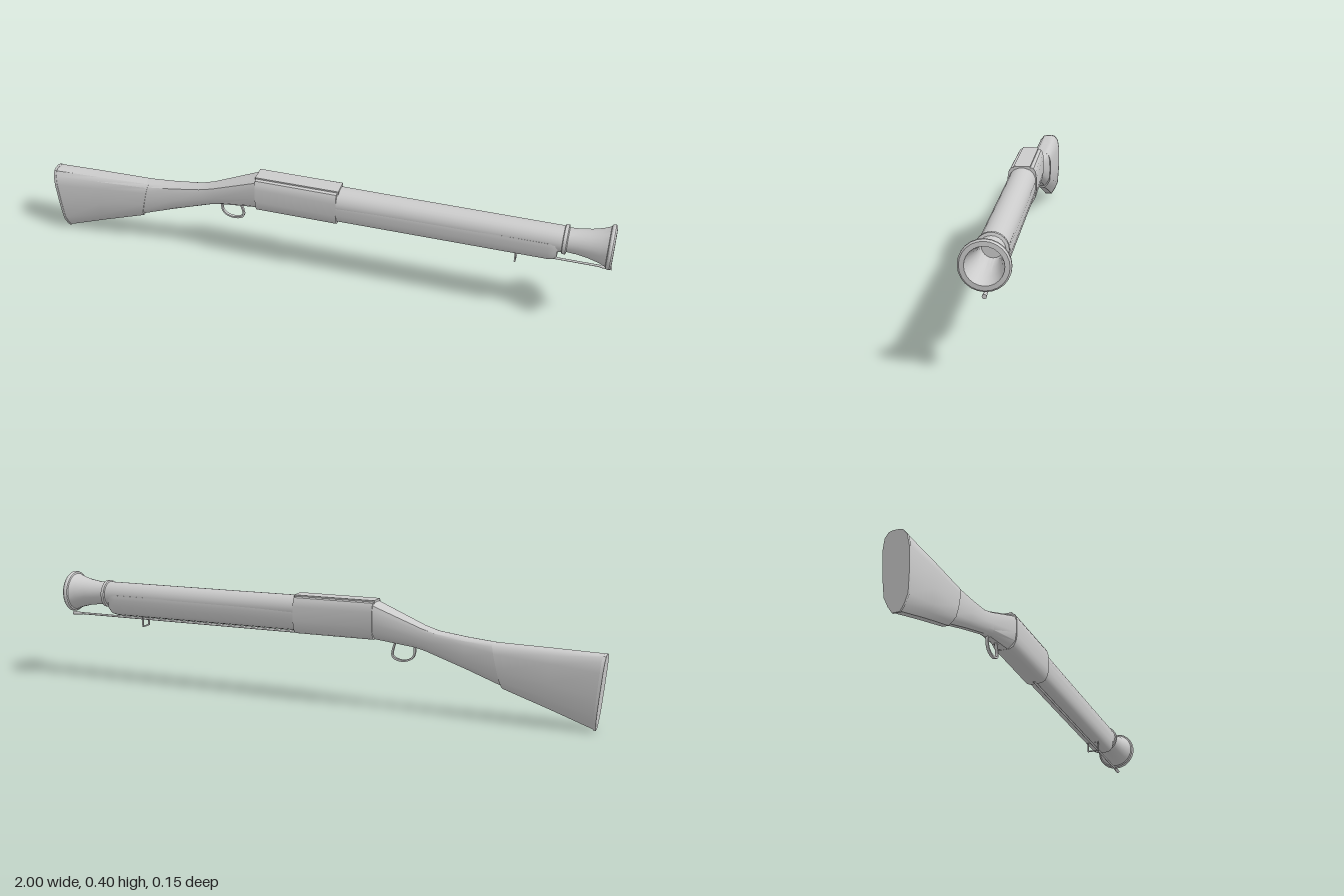
import * as THREE from 'three';
import { toCreasedNormals } from 'three/addons/utils/BufferGeometryUtils.js';

const material = new THREE.MeshStandardMaterial({ color: 0xcccccc, side: THREE.DoubleSide });
const AXIS_Y = 0.325; // height of the bore

// Half cross-sections as [share of half width, share of height], bottom to top
const STOCK = [[0.28, 0], [0.6, 0.08], [0.9, 0.2], [1, 0.45], [1, 0.78], [0.85, 0.92], [0.55, 0.985], [0.25, 1]];
const RECEIVER = [[0.45, 0], [0.72, 0.05], [0.92, 0.18], [1, 0.35], [1, 0.72], [0.94, 0.86], [0.8, 0.95], [0.65, 0.97]];
const FORE = [[0.4, 0], [0.68, 0.07], [0.88, 0.22], [0.98, 0.5], [1, 0.75], [1, 0.9], [0.98, 0.97], [0.9, 1]];

function add(group, name, geometry) {
  const mesh = new THREE.Mesh(geometry, material);
  mesh.name = name;
  group.add(mesh);
  return mesh;
}

// Skin over stations [xBottom, yBottom, xTop, yTop, halfWidth] running toward +x
function loft(half, stations, crease = 0.6) {
  const ring = [...half, ...half.map(([w, h]) => [-w, h]).reverse()];
  const n = ring.length, pos = [], idx = [];
  for (const [xb, yb, xt, yt, w] of stations)
    for (const [u, h] of ring) pos.push(xb + (xt - xb) * h, yb + (yt - yb) * h, u * w);
  for (let i = 0; i < stations.length - 1; i++)
    for (let j = 0; j < n; j++) {
      const k = (j + 1) % n, a = i * n, b = a + n;
      idx.push(a + j, b + j, b + k, a + j, b + k, a + k);
    }
  const end = (stations.length - 1) * n;
  for (let j = 1; j < n - 1; j++) idx.push(0, j, j + 1, end, end + j + 1, end + j);
  const geometry = new THREE.BufferGeometry();
  geometry.setAttribute('position', new THREE.Float32BufferAttribute(pos, 3));
  geometry.setIndex(idx);
  return toCreasedNormals(geometry, crease);
}

// Turned part along x from [x, radius] points
function turned(points, segments = 24) {
  const geometry = new THREE.LatheGeometry(points.map(([x, r]) => new THREE.Vector2(r, x)), segments);
  geometry.rotateZ(-Math.PI / 2).translate(0, AXIS_Y, 0);
  return toCreasedNormals(geometry, 0.5);
}

export function createModel() {
  const model = new THREE.Group();
  model.name = 'flaredMuzzleGun';

  // Shoulder stock, with a small step ahead of the butt, and the wrist
  add(model, 'buttPlate', loft(STOCK, [
    [-0.976, 0.003, -1.0, 0.255, 0.042],
    [-0.968, 0.005, -0.99, 0.256, 0.043],
  ]));
  add(model, 'butt', loft(STOCK, [
    [-0.969, 0.007, -0.991, 0.255, 0.042],
    [-0.82, 0.06, -0.83, 0.259, 0.04],
    [-0.665, 0.112, -0.63, 0.263, 0.035],
  ]));
  add(model, 'wrist', loft(STOCK, [
    [-0.675, 0.116, -0.65, 0.262, 0.033],
    [-0.54, 0.166, -0.54, 0.272, 0.03],
    [-0.4, 0.214, -0.44, 0.285, 0.027],
    [-0.36, 0.224, -0.39, 0.3, 0.03],
    [-0.215, 0.242, -0.215, 0.373, 0.045],
  ]));

  // Receiver with raised top plate
  add(model, 'receiver', loft(RECEIVER, [
    [-0.22, 0.241, -0.22, 0.376, 0.047],
    [0.07, 0.241, 0.07, 0.376, 0.049],
  ]));
  add(model, 'topPlate', new THREE.BoxGeometry(0.296, 0.012, 0.056)).position.set(-0.074, 0.371, 0);

  // Forestock cradling the barrel
  add(model, 'forestock', loft(FORE, [
    [0.06, 0.25, 0.06, 0.33, 0.046],
    [0.79, 0.25, 0.79, 0.33, 0.046],
    [0.81, 0.254, 0.81, 0.33, 0.045],
    [0.82, 0.265, 0.82, 0.33, 0.042],
  ]));

  // Barrel, collar, bell muzzle and hollow bore in one turned profile
  add(model, 'barrel', turned([
    [0.05, 0], [0.05, 0.047], [0.29, 0.046], [0.825, 0.045], [0.832, 0.045],
    [0.834, 0.05], [0.845, 0.05], [0.848, 0.041], [0.88, 0.043], [0.92, 0.049],
    [0.955, 0.058], [0.977, 0.067], [0.979, 0.072], [0.984, 0.075], [0.991, 0.075],
    [0.996, 0.07], [0.997, 0.056], [0.95, 0.045], [0.9, 0.036], [0.86, 0.033],
    [0.55, 0.033], [0.55, 0],
  ]));

  // Ramrod with a thicker tip
  const rod = add(model, 'ramrod', new THREE.CylinderGeometry(0.004, 0.004, 0.94, 10));
  rod.rotation.z = -Math.PI / 2;
  rod.position.set(0.52, 0.241, 0);
  const tip = add(model, 'ramrodTip', new THREE.CylinderGeometry(0.007, 0.005, 0.04, 10));
  tip.rotation.z = -Math.PI / 2;
  tip.position.set(0.98, 0.24, 0);

  // Sling loop under the forestock
  const loop = new THREE.Group();
  loop.name = 'slingLoop';
  for (const s of [-1, 1])
    add(loop, 'loopSide', new THREE.BoxGeometry(0.005, 0.042, 0.004)).position.set(0, 0.234, s * 0.021);
  for (const y of [0.215, 0.251])
    add(loop, 'loopBar', new THREE.BoxGeometry(0.005, 0.004, 0.046)).position.set(0, y, 0);
  loop.position.x = 0.685;
  model.add(loop);

  // Trigger guard: flat band bent below the wrist
  const outline = (k) => [
    [-0.362 + k, 0.23], [-0.362 + k, 0.2], [-0.35 + k, 0.18 + k * 0.6], [-0.325, 0.17 + k],
    [-0.3 - k, 0.171 + k], [-0.281 - k, 0.181 + k * 0.6], [-0.277 - k, 0.2], [-0.288 - k, 0.24],
  ].map(([x, y]) => new THREE.Vector2(x, y));
  const outer = new THREE.SplineCurve(outline(0)).getPoints(28);
  const inner = new THREE.SplineCurve(outline(0.006)).getPoints(28).reverse();
  const guard = new THREE.ExtrudeGeometry(new THREE.Shape([...outer, ...inner]), { depth: 0.01, bevelEnabled: false });
  guard.translate(0, 0, -0.005);
  add(model, 'triggerGuard', toCreasedNormals(guard, 0.6));

  return model;
}
